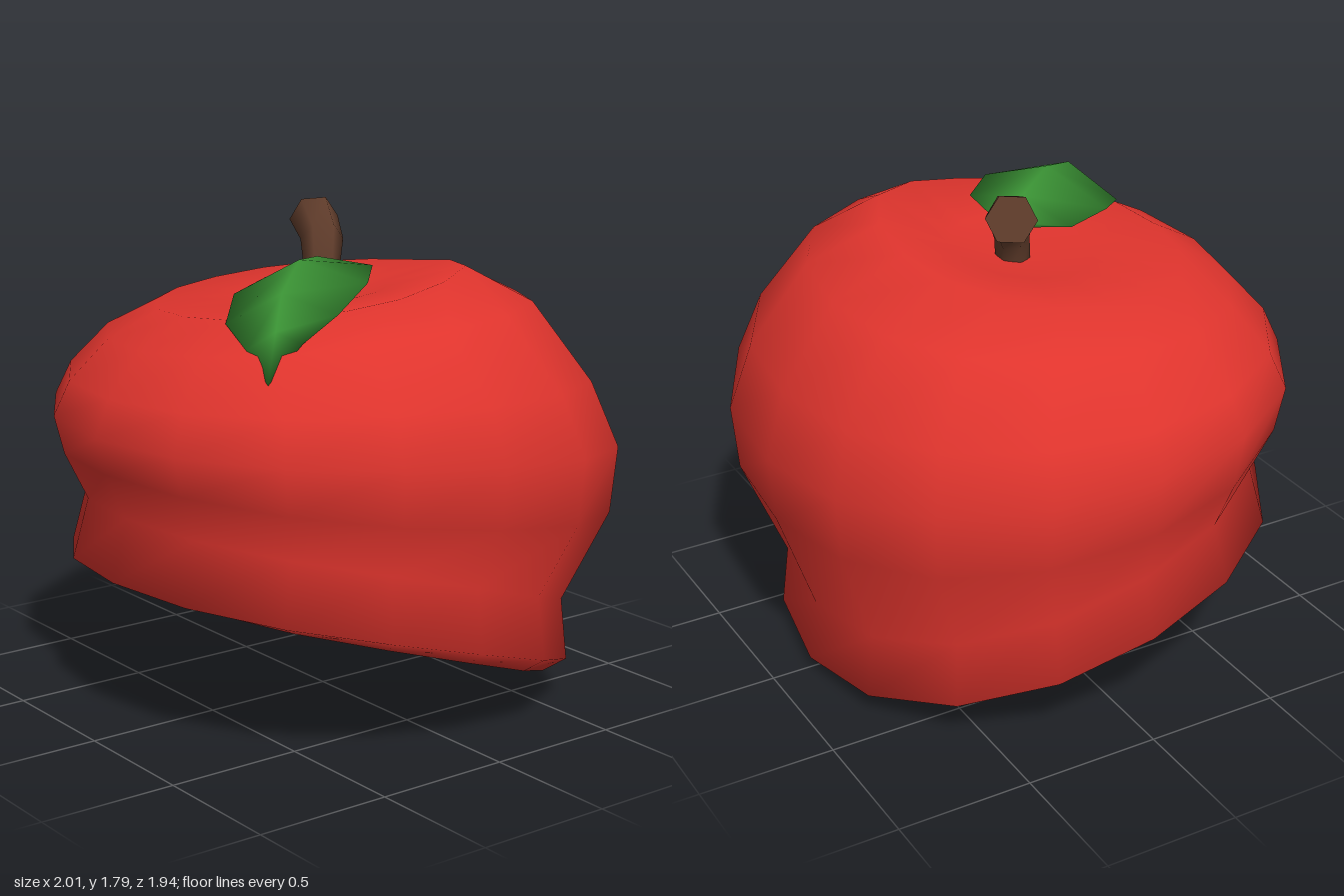
import * as THREE from 'three';
import { toCreasedNormals } from 'three/addons/utils/BufferGeometryUtils.js';

const red = new THREE.MeshStandardMaterial({ color: 0xdf342d });
const brown = new THREE.MeshStandardMaterial({ color: 0x5e3b2a });
const green = new THREE.MeshStandardMaterial({ color: 0x3a9234, side: THREE.DoubleSide });
red.name = 'red';
brown.name = 'brown';
green.name = 'green';

// Skin a list of equally long closed rows of points.
function loft(rows, crease) {
  const n = rows[0].length;
  const index = [];
  for (let r = 0; r < rows.length - 1; r++) {
    for (let i = 0; i < n; i++) {
      const j = (i + 1) % n;
      const a = r * n + i, b = r * n + j, c = a + n, d = b + n;
      if (rows[r][i].distanceTo(rows[r][j]) > 1e-5) index.push(a, c, b);
      if (rows[r + 1][i].distanceTo(rows[r + 1][j]) > 1e-5) index.push(b, c, d);
    }
  }
  const g = new THREE.BufferGeometry().setFromPoints(rows.flat());
  g.setIndex(index);
  return toCreasedNormals(g, crease);
}

// Tilted, slightly squared oval ring, fuller and higher toward the back left.
function capRing([zf, yf, zb, yb, w, bow = 0, bulge = 0, tilt = 0, lift = 0]) {
  const pts = [];
  for (let i = 0; i < 16; i++) {
    const t = (i / 16) * Math.PI * 2;
    const c = Math.cos(t), s = Math.sin(t);
    const corner = Math.pow(Math.max(0, (c - s) * Math.SQRT1_2), 6);
    const full = 1 + bulge * corner + 0.02 * Math.sin(2 * t) ** 2;
    pts.push(new THREE.Vector3(
      c * w * full,
      (yf + yb) / 2 + (s * (yf - yb)) / 2 + bow * c * c + tilt * c * w + lift * corner,
      (zf + zb) / 2 + (s * full * (zf - zb)) / 2
    ));
  }
  return pts;
}

function createCap() {
  // front z, front y, back z, back y, half width, side lift, bulge, sideways tilt, corner lift
  const sections = [
    // hollow underneath, from its ceiling down to the rim
    [0.02, 0.7, 0.02, 0.7, 0],
    [0.44, 0.8, -0.4, 0.49, 0.44, 0.02],
    [0.76, 0.74, -0.71, 0.23, 0.81, 0.05],
    [0.82, 0.53, -0.76, 0, 0.87, 0.06],
    // outside, from the rim up to the dimple
    [0.91, 0.56, -0.85, 0.04, 0.94, 0.075],
    [0.85, 0.78, -0.815, 0.27, 0.89, 0.07, 0.02],
    [0.93, 0.95, -0.945, 0.66, 0.975, 0.01, 0.07],
    [0.965, 1.08, -0.965, 0.9, 1, 0.05, 0.07],
    [0.91, 1.21, -0.9, 1.15, 0.93, 0.03, 0.04, 0.02],
    [0.78, 1.36, -0.7, 1.44, 0.75, 0.02, 0.03, 0.05, 0.01],
    [0.6, 1.46, -0.42, 1.555, 0.55, 0, 0.08, 0.06, 0.04],
    [0.29, 1.475, -0.21, 1.51, 0.27, 0, 0, 0.06],
    [0, 1.46, 0, 1.46, 0]
  ];
  return new THREE.Mesh(loft(sections.map(capRing), 2.2), red);
}

function createStem() {
  // centre x, y, z and radius
  const path = [
    [-0.01, 1.42, 0, 0.062],
    [-0.02, 1.54, -0.01, 0.062],
    [-0.085, 1.66, -0.06, 0.078],
    [-0.235, 1.715, -0.135, 0.09],
    [-0.235, 1.715, -0.135, 0]
  ];
  const centres = path.map(p => new THREE.Vector3(p[0], p[1], p[2]));
  const up = new THREE.Vector3(0, 1, 0);
  const rings = path.map((p, k) => {
    const along = centres[Math.min(k + 1, 3)].clone().sub(centres[Math.min(Math.max(k - 1, 0), 2)]).normalize();
    const q = new THREE.Quaternion().setFromUnitVectors(up, along);
    return Array.from({ length: 6 }, (_, i) => {
      const t = (i / 6) * Math.PI * 2;
      return new THREE.Vector3(Math.cos(t) * p[3], 0, Math.sin(t) * p[3]).applyQuaternion(q).add(centres[k]);
    });
  });
  return new THREE.Mesh(loft(rings, 1.2), brown);
}

function createLeaf() {
  // from base to tip, each row: outer edge, midrib, inner edge, underside
  const rows = [
    [[0, 1.56, 0.05], [0.02, 1.58, 0.02], [0.04, 1.57, -0.02]],
    [[-0.06, 1.55, 0.21], [0.1, 1.635, 0.1], [0.25, 1.61, -0.03]],
    [[0.06, 1.53, 0.43], [0.25, 1.66, 0.29], [0.44, 1.59, 0.14]],
    [[0.24, 1.47, 0.59], [0.41, 1.585, 0.48], [0.55, 1.52, 0.35]],
    [[0.41, 1.41, 0.625], [0.5, 1.48, 0.57], [0.555, 1.44, 0.5]],
    [[0.56, 1.32, 0.645], [0.56, 1.32, 0.645], [0.56, 1.32, 0.645]]
  ].map((row, k) => {
    const [outer, rib, inner] = row.map(p => new THREE.Vector3(...p));
    const under = outer.clone().lerp(inner, 0.5);
    if (k < 5) under.y -= 0.02;
    return [outer, rib, inner, under];
  });
  return new THREE.Mesh(loft(rows, 3), green);
}

export function createModel() {
  const group = new THREE.Group();
  group.name = 'fruitCap';
  const parts = { cap: createCap(), stem: createStem(), leaf: createLeaf() };
  for (const [name, mesh] of Object.entries(parts)) {
    mesh.name = name;
    group.add(mesh);
  }
  return group;
}
